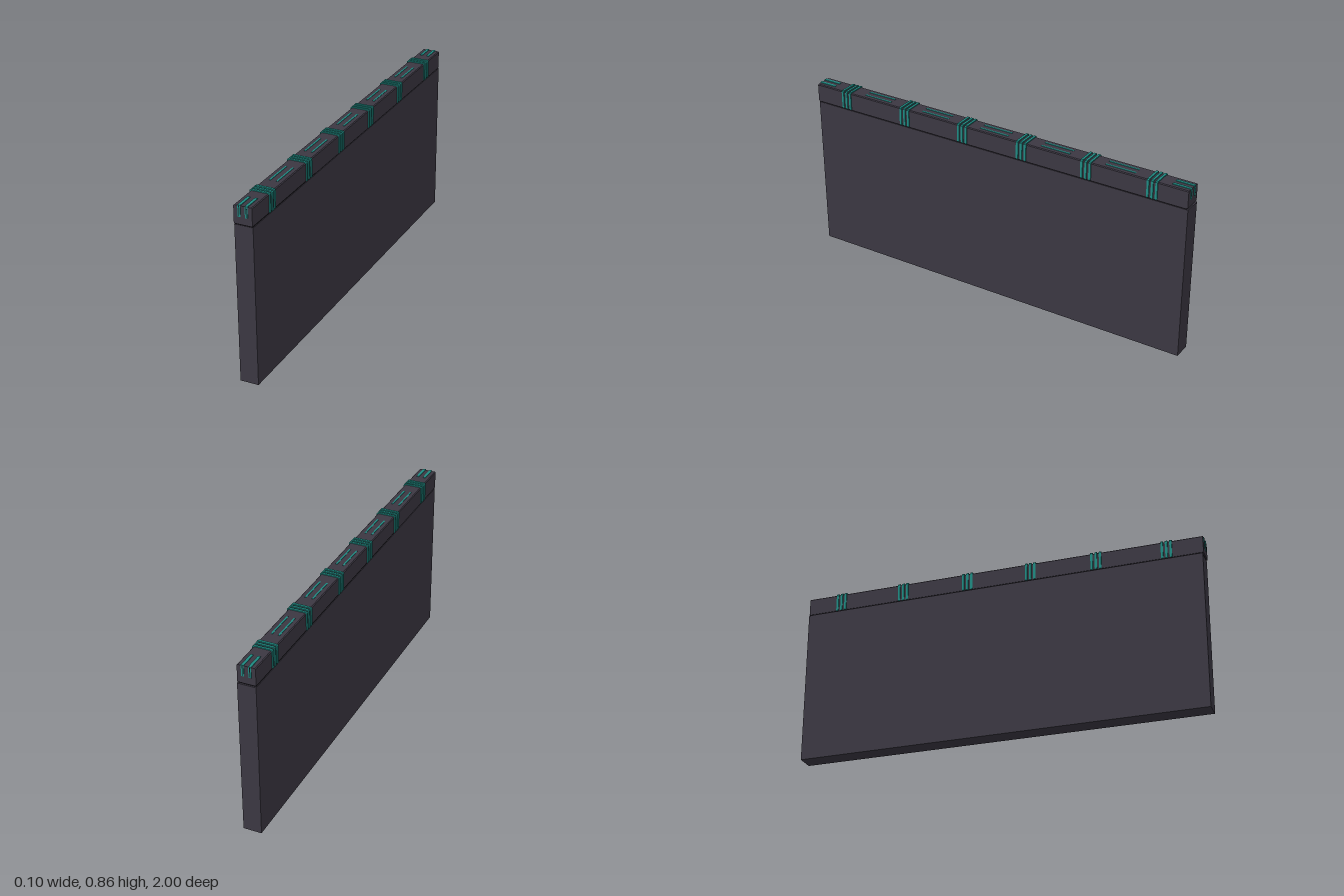
import * as THREE from 'three';

const wallMat = new THREE.MeshStandardMaterial({ color: 0x3b3742 });
const seamMat = new THREE.MeshStandardMaterial({ color: 0x17151a });
const trimMat = new THREE.MeshStandardMaterial({ color: 0x1f8a82 });

const TOP = 0.856, SEAM = 0.77, HALF = 0.044;

function box(parent, name, material, size, pos) {
  const mesh = new THREE.Mesh(new THREE.BoxGeometry(...size), material);
  mesh.name = name;
  mesh.position.set(...pos);
  parent.add(mesh);
  return mesh;
}

// Inverted U with chamfered shoulders, wrapped over the coping
function strapGeometry(width) {
  const o = 0.048, i = 0.042, top = 0.861, c = 0.005;
  const s = new THREE.Shape([
    [-o, SEAM], [-i, SEAM], [-i, top - 0.007], [i, top - 0.007], [i, SEAM], [o, SEAM],
    [o, top - c], [o - c, top], [-o + c, top], [-o, top - c],
  ].map(([x, y]) => new THREE.Vector2(x, y)));
  return new THREE.ExtrudeGeometry(s, { depth: width, bevelEnabled: false }).translate(0, 0, -width / 2);
}

export function createModel() {
  const model = new THREE.Group();
  model.name = 'barrierWall';

  // Main slab, its front end leaning in very slightly towards the foot
  const slab = new THREE.BoxGeometry(HALF * 2, SEAM - 0.006, 1.994);
  slab.translate(0, (SEAM - 0.006) / 2, -0.003);
  const p = slab.attributes.position;
  for (let k = 0; k < p.count; k++) {
    if (p.getZ(k) > 0 && p.getY(k) < 0.1) p.setZ(k, 0.988);
  }
  slab.computeVertexNormals();
  const body = new THREE.Mesh(slab, wallMat);
  body.name = 'wallSlab';
  model.add(body);

  // Recessed seam under the coping
  box(model, 'seam', seamMat, [0.082, 0.012, 1.985], [0, SEAM - 0.003, 0]);

  // Coping with small chamfers along its upper edges
  const cw = 0.0435, ch = 0.004;
  const profile = new THREE.Shape([
    [-cw, SEAM], [cw, SEAM], [cw, TOP - ch], [cw - ch, TOP], [-cw + ch, TOP], [-cw, TOP - ch],
  ].map(([x, y]) => new THREE.Vector2(x, y)));
  const coping = new THREE.Mesh(
    new THREE.ExtrudeGeometry(profile, { depth: 1.996, bevelEnabled: false }).translate(0, 0, -0.998), wallMat);
  coping.name = 'coping';
  model.add(coping);

  // Triple straps at six stations
  const strapGeo = strapGeometry(0.011);
  for (const z of [-0.825, -0.495, -0.16, 0.16, 0.485, 0.825]) {
    const band = new THREE.Group();
    band.name = 'strapBand';
    band.position.z = z;
    for (const dz of [-0.021, 0, 0.021]) {
      const strap = new THREE.Mesh(strapGeo, trimMat);
      strap.name = 'strap';
      strap.position.z = dz;
      band.add(strap);
    }
    model.add(band);
  }

  // Paired inlay strips along the top, between the straps
  for (const x of [-0.017, 0.017]) {
    for (const z of [-0.655, -0.325, 0, 0.325, 0.655]) {
      box(model, 'topInlay', trimMat, [0.008, 0.004, 0.15], [x, TOP, z]);
    }
    // Strips folding over each end of the coping
    for (const side of [-1, 1]) {
      box(model, 'endInlayTop', trimMat, [0.013, 0.006, 0.09], [x, TOP, side * 0.955]);
      box(model, 'endInlayFace', trimMat, [0.013, 0.054, 0.005], [x, 0.832, side * 0.9975]);
      box(model, 'endInlayGroove', seamMat, [0.003, 0.05, 0.0056], [x, 0.832, side * 0.9975]);
    }
  }
  return model;
}
